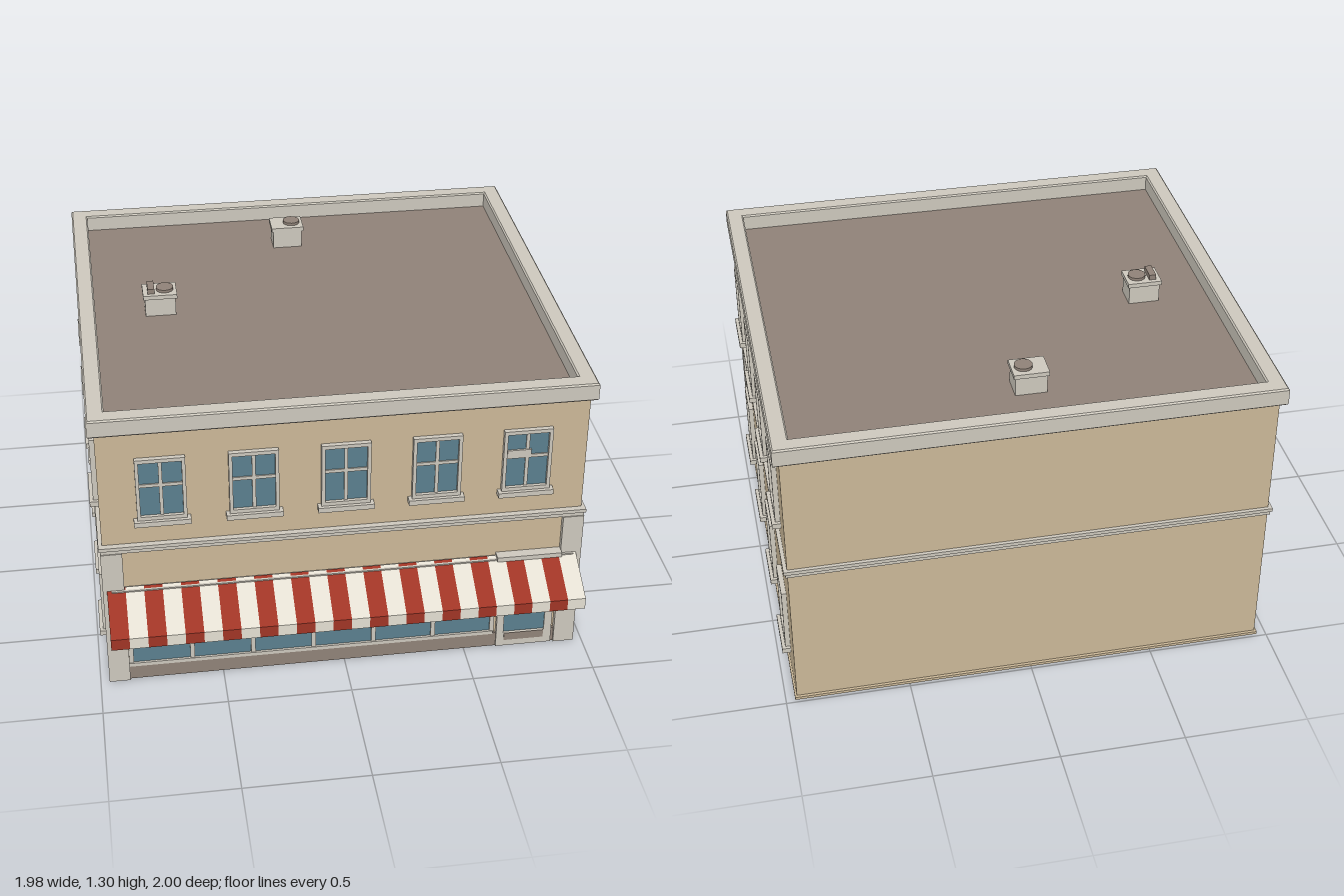
import * as THREE from 'three';

const mat = (name, color, side = THREE.FrontSide) => {
  const m = new THREE.MeshStandardMaterial({ color, side });
  m.name = name;
  return m;
};

export function createModel() {
  const root = new THREE.Group();
  root.name = 'shopBuilding';
  const wall = mat('tan wall', 0xcbb898);
  const trim = mat('pale stone trim', 0xcdc8bd);
  const brown = mat('brown roofing', 0x8f8278);
  const glass = mat('blue glass', 0x5b7f8e);
  const red = mat('red canvas', 0xa03526);
  const cream = mat('cream canvas', 0xe4dfd2);

  const add = (parent, name, geo, material) => {
    const m = new THREE.Mesh(geo, material);
    m.name = name;
    parent.add(m);
    return m;
  };
  // Box given by its low and high limits on each axis
  const box = (parent, name, material, x0, x1, y0, y1, z0, z1) => {
    const g = new THREE.BoxGeometry(x1 - x0, y1 - y0, z1 - z0);
    g.translate((x0 + x1) / 2, (y0 + y1) / 2, (z0 + z1) / 2);
    return add(parent, name, g, material);
  };
  const rect = (T, x0, x1, y0, y1) => {
    const s = new T();
    s.moveTo(x0, y0).lineTo(x1, y0).lineTo(x1, y1).lineTo(x0, y1).closePath();
    return s;
  };
  // Rectangular ring extruded along +z
  const ring = (o, i, depth, bevel = 0) => {
    const s = rect(THREE.Shape, ...o);
    s.holes.push(rect(THREE.Path, ...i));
    return new THREE.ExtrudeGeometry(s, {
      depth, bevelEnabled: bevel > 0, bevelSize: bevel, bevelThickness: bevel, bevelOffset: -bevel, bevelSegments: 1,
    });
  };

  const WX = 0.955, ZF = 0.79, ZB = -0.975;

  // Walls, base strip, belt course
  box(root, 'walls', wall, -WX, WX, 0, 1.175, ZB, ZF);
  box(root, 'baseStrip', wall, -0.963, 0.963, 0, 0.012, -0.987, 0.795);
  box(root, 'beltCourse', trim, -0.963, 0.963, 0.632, 0.65, -0.983, 0.808);
  box(root, 'beltCourseCap', trim, -0.97, 0.97, 0.65, 0.665, -0.99, 0.815);

  // Roof deck and parapet (plan drawn with y = -z)
  box(root, 'roofDeck', brown, -0.92, 0.92, 1.17, 1.178, -0.94, 0.75);
  const parapet = ring([-0.98, 0.98, -0.812, 1], [-0.91, 0.91, -0.74, 0.93], 0.063, 0.006);
  parapet.rotateX(-Math.PI / 2).translate(0, 1.176, 0);
  add(root, 'parapet', parapet, trim);

  // Sash window, facing +z, origin at its centre on the wall
  const sashWindow = (w) => {
    const g = new THREE.Group();
    g.name = 'window';
    const a = w / 2, f = a + 0.014;
    box(g, 'glass', glass, -a, a, -0.125, 0.125, 0, 0.006);
    add(g, 'frame', ring([-f, f, -0.14, 0.138], [-a, a, -0.122, 0.122], 0.02), trim);
    box(g, 'mullion', trim, -0.007, 0.007, -0.122, 0.122, 0.002, 0.011);
    box(g, 'crossBar', trim, -a, a, 0.008, 0.022, 0.002, 0.011);
    box(g, 'sill', trim, -f - 0.014, f + 0.014, -0.16, -0.138, 0, 0.034);
    return g;
  };

  // Front upper windows
  for (let i = -2; i <= 2; i++) {
    const w = sashWindow(0.165);
    w.position.set(i * 0.3575, 0.918, ZF);
    root.add(w);
  }
  box(root, 'windowCard', trim, 0.635, 0.73, 0.93, 0.965, ZF, 0.804);

  // Side windows on both floors
  for (const s of [-1, 1]) {
    for (const z of [0.55, 0.125, -0.3, -0.73]) {
      for (const y of [0.278, 0.918]) {
        const w = sashWindow(0.155);
        w.position.set(s * WX, y, z);
        w.rotation.y = s * Math.PI / 2;
        root.add(w);
      }
    }
  }
  // Small wall brackets under the side windows
  const bracket = (s, z0, z1) => {
    const a = Math.min(s * WX, s * 0.966), b = Math.max(s * WX, s * 0.966);
    box(root, 'wallBracket', wall, a, b, 0.732, 0.738, z0, z1);
    box(root, 'bracketLeg', wall, a, b, 0.715, 0.732, z1 - 0.006, z1);
  };
  bracket(1, 0.07, 0.215);
  bracket(1, -0.315, -0.21);
  bracket(-1, 0.07, 0.215);

  // Shop front: corner pilasters, plinth, display windows
  for (const s of [-1, 1]) {
    const p = box(root, 'pilaster', trim, -0.0425, 0.0425, 0, 0.632, 0.72, 0.812);
    p.position.x = s * 0.922;
  }
  box(root, 'plinth', brown, -0.88, 0.88, 0, 0.066, ZF, 0.802);
  box(root, 'displayGlass', glass, -0.87, 0.615, 0.066, 0.44, ZF, 0.796);
  box(root, 'displaySill', trim, -0.88, 0.62, 0.064, 0.08, ZF, 0.806);
  box(root, 'displayHead', trim, -0.88, 0.62, 0.43, 0.45, ZF, 0.803);
  for (let i = 0; i <= 6; i++) {
    const x = -0.87 + i * 0.2475;
    box(root, 'displayMullion', trim, x - 0.009, x + 0.009, 0.075, 0.44, ZF, 0.803);
  }

  // Door
  const door = new THREE.Group();
  door.name = 'door';
  root.add(door);
  box(door, 'doorGlass', glass, 0.66, 0.84, 0.07, 0.44, ZF, 0.803);
  add(door, 'doorFrame', ring([0.635, 0.868, 0, 0.45], [0.665, 0.836, 0.066, 0.42], 0.018).translate(0, 0, ZF), trim);
  box(door, 'kickPlate', brown, 0.668, 0.834, 0.03, 0.066, 0.803, 0.811);
  box(door, 'doorHood', trim, 0.615, 0.88, 0.452, 0.472, ZF, 0.832);
  const knob = add(door, 'doorKnob', new THREE.SphereGeometry(0.01, 10, 8), trim);
  knob.position.set(0.815, 0.178, 0.815);

  // Striped awning: folded thin sheet, one strip per stripe
  const awning = new THREE.Group();
  awning.name = 'awning';
  root.add(awning);
  const pts = [[0.8, 0.464], [1, 0.362], [1, 0.312], [0.994, 0.312], [0.994, 0.357], [0.8, 0.456]];
  const profile = new THREE.Shape(pts.map((p) => new THREE.Vector2(...p)));
  const N = 26, W = 1.89 / N;
  for (let i = 0; i < N; i++) {
    const g = new THREE.ExtrudeGeometry(profile, { depth: W, bevelEnabled: false });
    g.rotateY(-Math.PI / 2).translate(-0.948 + (i + 1) * W, 0, 0);
    add(awning, i % 2 ? 'creamStripe' : 'redStripe', g, i % 2 ? cream : red);
  }
  box(awning, 'awningRail', trim, -0.93, 0.93, 0.435, 0.458, ZF, 0.822);

  // Rooftop units with fan vents
  const roofUnit = (x, z, fanX) => {
    const g = new THREE.Group();
    g.name = 'roofUnit';
    g.position.set(x, 0, z);
    box(g, 'unitBody', trim, -0.063, 0.063, 1.17, 1.256, -0.05, 0.05);
    box(g, 'unitCap', trim, -0.07, 0.07, 1.256, 1.274, -0.056, 0.056);
    const fan = add(g, 'fanVent', new THREE.CylinderGeometry(0.036, 0.036, 0.012, 16), brown);
    fan.position.set(fanX, 1.28, 0);
    root.add(g);
    return g;
  };
  roofUnit(-0.04, -0.69, 0.022);
  const unit = roofUnit(-0.64, -0.14, 0.022);
  box(unit, 'exhaustBar', brown, -0.05, -0.022, 1.27, 1.296, -0.038, 0.038);

  return root;
}
